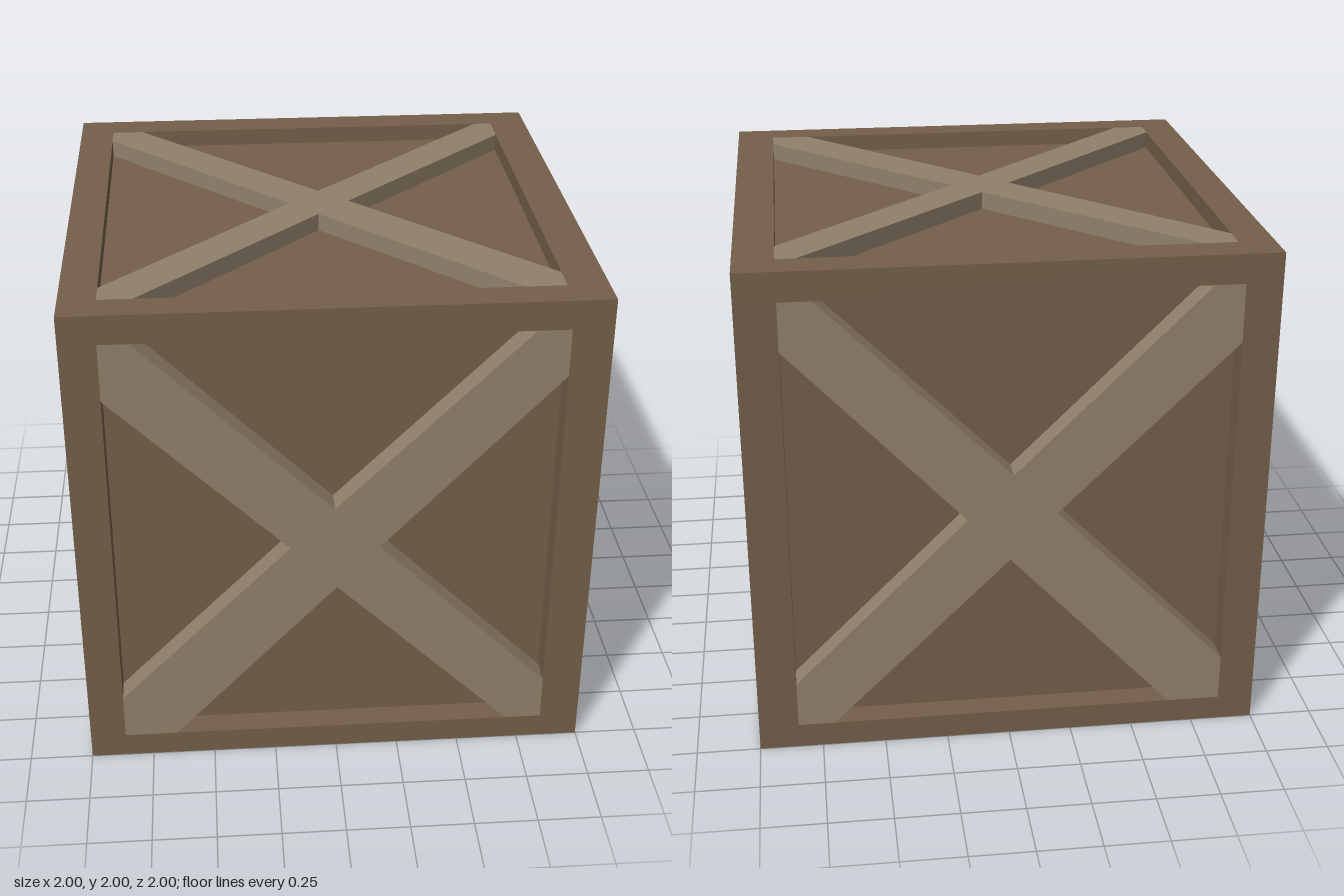
import * as THREE from 'three';

// Frame opening limits on each axis
const X0 = -0.86, X1 = 0.845, Y0 = 0.1, Y1 = 1.885, Z0 = -0.86, Z1 = 0.87;
// Recess depth of the upright panels and of the top and bottom panels
const SIDE_DEPTH = 0.1, CAP_DEPTH = 0.07;

const frameMat = new THREE.MeshStandardMaterial({ color: 0x745f49, flatShading: true });
const braceMat = new THREE.MeshStandardMaterial({ color: 0x90806b, flatShading: true });

// Box given by its limits on each axis
function block(name, [x0, x1], [y0, y1], [z0, z1]) {
  const geo = new THREE.BoxGeometry(x1 - x0, y1 - y0, z1 - z0);
  geo.translate((x0 + x1) / 2, (y0 + y1) / 2, (z0 + z1) / 2);
  const mesh = new THREE.Mesh(geo, frameMat);
  mesh.name = name;
  return mesh;
}

// Pair of crossed braces on two opposite faces, outline in face coordinates
function bracePair(name, depth, outline) {
  const pair = new THREE.Group();
  pair.name = name;
  const shape = new THREE.Shape(outline.map(([u, v]) => new THREE.Vector2(u, v)));
  for (const z of [1 - depth, -1]) {
    const geo = new THREE.ExtrudeGeometry(shape, { depth, bevelEnabled: false });
    geo.translate(0, 0, z);
    const mesh = new THREE.Mesh(geo, braceMat);
    mesh.name = 'crossBrace';
    pair.add(mesh);
  }
  pair.position.y = 1;
  return pair;
}

export function createModel() {
  const crate = new THREE.Group();
  crate.name = 'crate';

  // Inner body forming the six recessed panels
  const inner = 1 - SIDE_DEPTH;
  crate.add(block('panels', [-inner, inner], [CAP_DEPTH, 2 - CAP_DEPTH], [-inner, inner]));

  // Twelve frame beams
  const xs = [[-1, X0], [X1, 1]], ys = [[0, Y0], [Y1, 2]], zs = [[-1, Z0], [Z1, 1]];
  for (const y of ys) for (const z of zs) crate.add(block('widthBeam', [-1, 1], y, z));
  for (const x of xs) for (const z of zs) crate.add(block('cornerPost', x, [Y0, Y1], z));
  for (const x of xs) for (const y of ys) crate.add(block('depthBeam', x, y, [Z0, Z1]));

  // Front and back braces: (x, y - 1)
  crate.add(bracePair('frontBackBraces', SIDE_DEPTH, [
    [X0, -0.71], [X0, Y0 - 1], [-0.65, Y0 - 1], [0, -0.205],
    [0.7, Y0 - 1], [X1, Y0 - 1], [X1, -0.71], [0.165, -0.025],
    [X1, 0.695], [X1, Y1 - 1], [0.72, Y1 - 1], [-0.01, 0.155],
    [-0.745, Y1 - 1], [X0, Y1 - 1], [X0, 0.655], [-0.18, -0.015],
  ]));

  // Side braces: (-z, y - 1), turned to face x
  const sides = bracePair('sideBraces', SIDE_DEPTH, [
    [-Z1, -0.75], [-Z1, Y0 - 1], [-0.73, Y0 - 1], [-0.01, -0.14],
    [0.72, Y0 - 1], [-Z0, Y0 - 1], [-Z0, -0.735], [0.14, 0.015],
    [-Z0, 0.76], [-Z0, Y1 - 1], [0.7, Y1 - 1], [0, 0.16],
    [-0.7, Y1 - 1], [-Z1, Y1 - 1], [-Z1, 0.75], [-0.15, 0],
  ]);
  sides.rotation.y = Math.PI / 2;
  crate.add(sides);

  // Top and bottom braces: (x, -z), turned to face y
  const caps = bracePair('topBottomBraces', CAP_DEPTH, [
    [X0, -0.77], [X0, -Z1], [-0.73, -Z1], [-0.01, -0.14],
    [0.69, -Z1], [X1, -Z1], [X1, -0.755], [0.12, -0.01],
    [X1, 0.71], [X1, -Z0], [0.77, -Z0], [0.005, 0.105],
    [-0.73, -Z0], [X0, -Z0], [X0, 0.755], [-0.12, -0.02],
  ]);
  caps.rotation.x = -Math.PI / 2;
  crate.add(caps);

  return crate;
}
